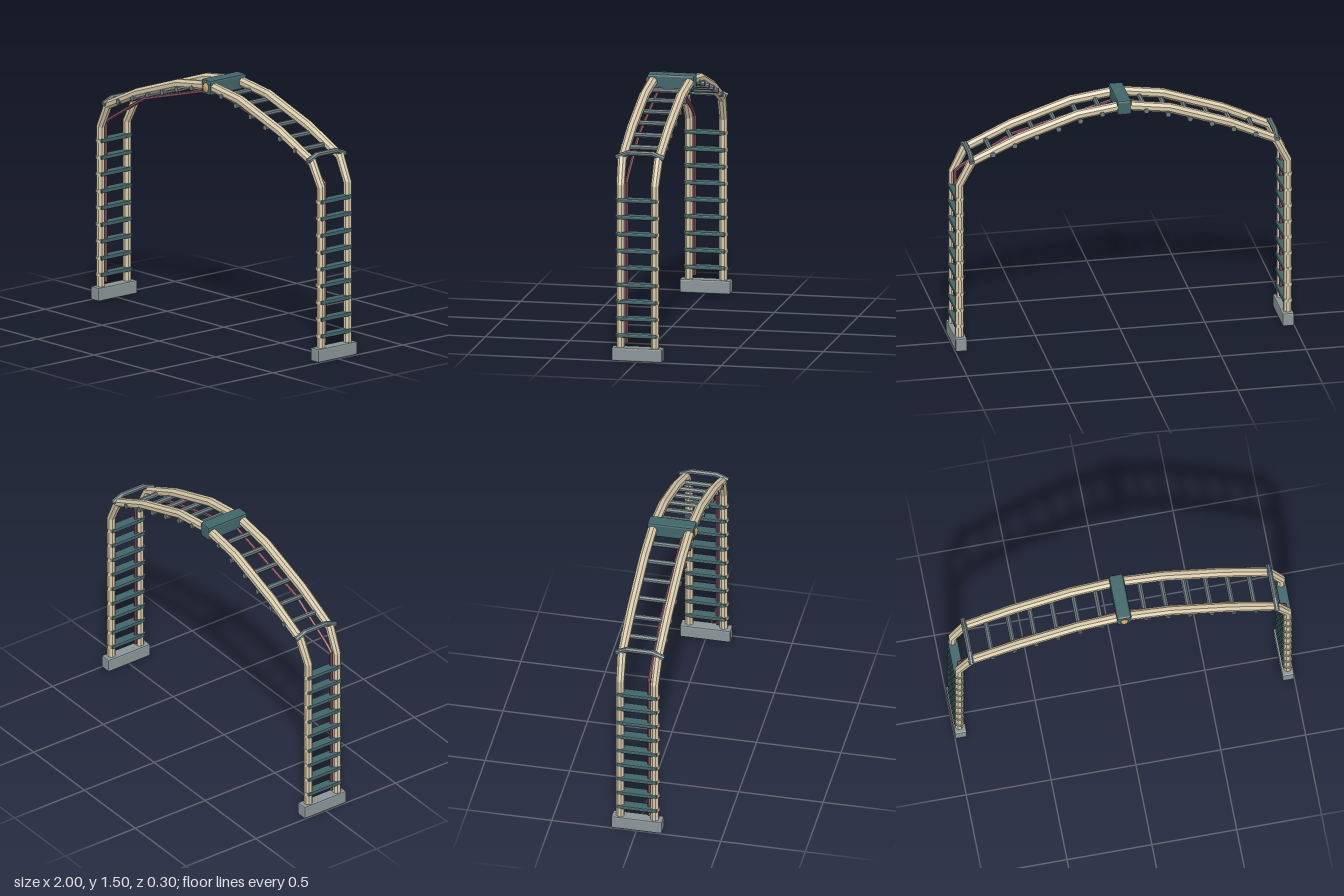
import * as THREE from 'three';
import { RoundedBoxGeometry } from 'three/addons/geometries/RoundedBoxGeometry.js';

const mat = (color) => new THREE.MeshStandardMaterial({ color, flatShading: true });
const wood = mat(0xd8caaa), teal = mat(0x41666a), slate = mat(0x6c7c81);
const stone = mat(0x8b9698), rope = mat(0x8c5566), gold = mat(0xd0a660);

function add(parent, name, geometry, material, x = 0, y = 0, z = 0) {
  const mesh = new THREE.Mesh(geometry, material);
  mesh.name = name;
  mesh.position.set(x, y, z);
  parent.add(mesh);
  return mesh;
}

// Faceted beam along a path of [x, y, z, radius], mitred at each bend
function beam(path, sides) {
  const pts = path.map((p) => new THREE.Vector3(p[0], p[1], p[2]));
  const pos = [], index = [], n = pts.length;
  const dirs = pts.slice(1).map((p, i) => p.clone().sub(pts[i]).normalize());
  let side = null;
  for (let i = 0; i < n; i++) {
    const a = dirs[Math.max(i - 1, 0)], b = dirs[Math.min(i, n - 2)];
    const t = a.clone().add(b).normalize();
    const ref = side ?? (Math.abs(t.z) < 0.9 ? new THREE.Vector3(0, 0, 1) : new THREE.Vector3(0, 1, 0));
    side = ref.clone().addScaledVector(t, -ref.dot(t)).normalize();
    const up = new THREE.Vector3().crossVectors(t, side);
    const stretch = 1 / Math.max(0.6, t.dot(a));
    for (let k = 0; k < sides; k++) {
      const ang = ((k + 0.5) / sides) * Math.PI * 2, r = path[i][3] / Math.cos(Math.PI / sides);
      const p = pts[i].clone()
        .addScaledVector(side, Math.cos(ang) * r)
        .addScaledVector(up, Math.sin(ang) * r * stretch);
      pos.push(p.x, p.y, p.z);
    }
  }
  for (let i = 0; i < n - 1; i++) for (let k = 0; k < sides; k++) {
    const a = i * sides + k, b = i * sides + ((k + 1) % sides);
    index.push(a, b, b + sides, a, b + sides, a + sides);
  }
  // End caps
  const last = (n - 1) * sides;
  for (let k = 1; k < sides - 1; k++) {
    index.push(0, k + 1, k, last, last + k, last + k + 1);
  }
  const g = new THREE.BufferGeometry();
  g.setAttribute('position', new THREE.Float32BufferAttribute(pos, 3));
  g.setIndex(index);
  g.computeVertexNormals();
  return g;
}

// Right half of a path, mirrored to run from the left foot to the right
const mirrored = (half) => [
  ...half.map(([x, ...rest]) => [-x, ...rest]),
  ...half.slice(0, -1).reverse(),
];

export function createModel() {
  const root = new THREE.Group();
  root.name = 'ladderArch';

  // Two wooden frames, each a post, knee and arched rail in one run
  for (const s of [1, -1]) {
    const half = [
      [0.968, 0.06, s * 0.102, 0.023], [0.968, 1.035, s * 0.102, 0.023],
      [0.897, 1.175, s * 0.107, 0.025], [0.62, 1.303, s * 0.108, 0.027],
      [0.27, 1.422, s * 0.108, 0.027], [0, 1.46, s * 0.108, 0.027],
    ];
    add(root, s > 0 ? 'frontFrame' : 'backFrame', beam(mirrored(half), 8), wood);
  }

  // Cable slung below the front rail and down both legs
  const cable = [
    [0.962, 0.1, 0.067, 0.009], [0.962, 1.05, 0.067, 0.009],
    [0.92, 1.085, 0.067, 0.009], [0.62, 1.26, 0.067, 0.009], [0, 1.43, 0.067, 0.009],
  ];
  add(root, 'cable', beam(mirrored(cable), 6), rope);

  // Shared shapes
  const footGeo = new RoundedBoxGeometry(0.07, 0.08, 0.3, 1, 0.008);
  const stepGeo = new RoundedBoxGeometry(0.06, 0.024, 0.236, 1, 0.006);
  const bandGeo = new THREE.CylinderGeometry(0.03, 0.03, 0.018, 8);
  const pegGeo = new THREE.CylinderGeometry(0.016, 0.016, 0.28, 8).rotateX(Math.PI / 2);
  const archY = [1.425, 1.392, 1.352, 1.312, 1.268, 1.222];

  for (const s of [1, -1]) {
    const end = new THREE.Group();
    end.name = s > 0 ? 'leftEnd' : 'rightEnd';
    root.add(end);

    add(end, 'foot', footGeo, stone, s * 0.965, 0.04, 0);

    // Ladder steps, each banded to its posts
    for (let i = 0; i < 9; i++) {
      const y = 0.15 + i * 0.1;
      add(end, 'step', stepGeo, teal, s * 0.967, y, 0.002);
      add(end, 'frontBand', bandGeo, wood, s * 0.967, y, 0.102);
      add(end, 'backBand', bandGeo, wood, s * 0.967, y, -0.099);
    }

    // Overhead rungs pegged under the rails
    archY.forEach((y, i) => {
      const rung = add(end, 'overheadRung', pegGeo, slate, s * (0.13 + i * 0.129), y, 0);
      rung.rotation.z = -s * (0.15 + i * 0.06);
    });

    // Bent crossbar over the knee
    const bar = [
      [s * 0.9, 1.185, 0.142, 0.015], [s * 0.9, 1.213, 0.075, 0.015],
      [s * 0.9, 1.213, -0.075, 0.015], [s * 0.9, 1.185, -0.142, 0.015],
    ];
    add(end, 'kneeCrossbar', beam(bar, 8), slate);
  }

  // Ridge block with a round boss on the front
  add(root, 'ridgeBlock', new RoundedBoxGeometry(0.085, 0.09, 0.28, 1, 0.012), teal, 0, 1.455, 0);
  const boss = add(root, 'ridgeBoss', new THREE.SphereGeometry(1, 12, 8), gold, 0, 1.453, 0.138);
  boss.scale.set(0.024, 0.03, 0.015);

  return root;
}
